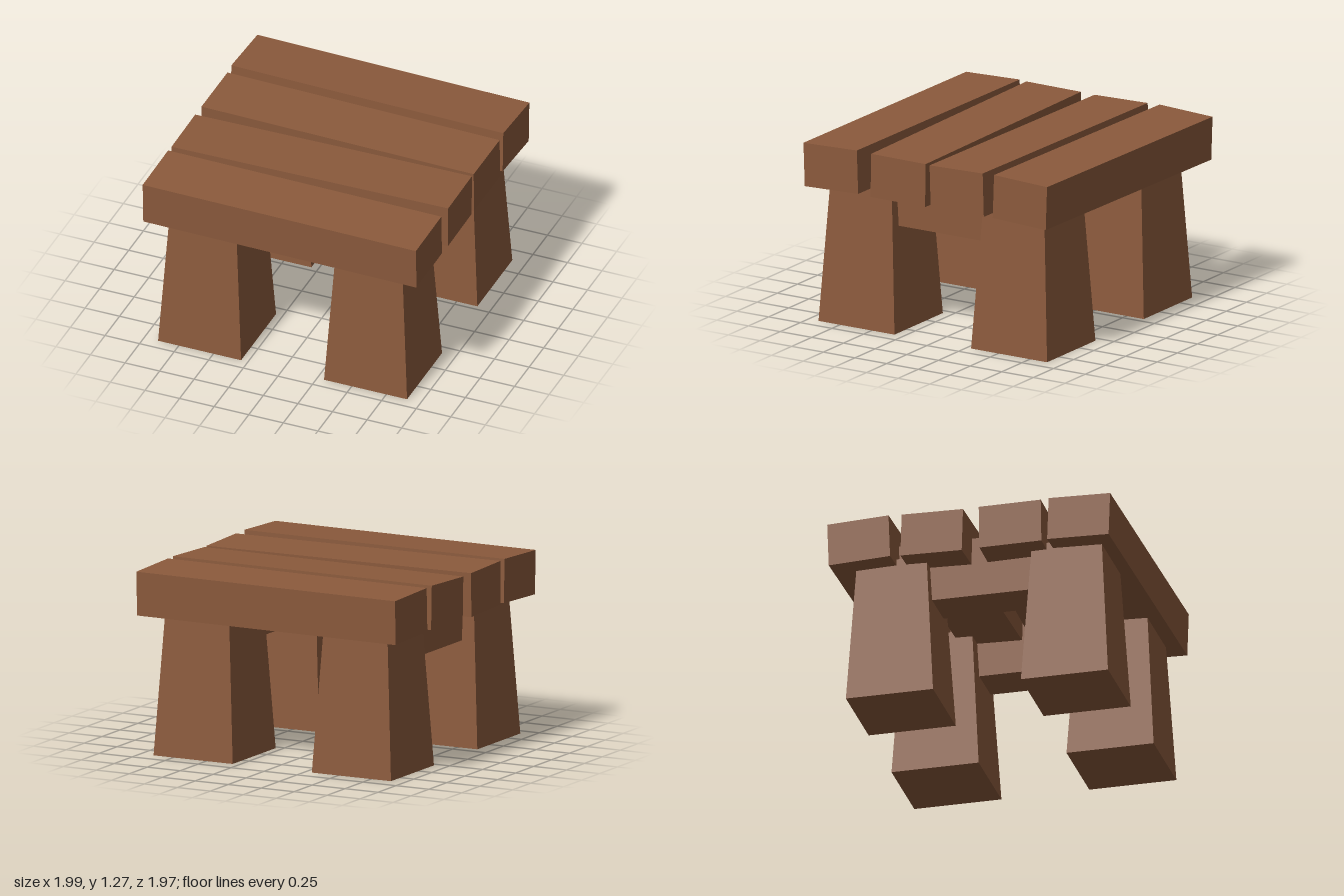
import * as THREE from 'three';

const wood = new THREE.MeshStandardMaterial({ color: 0x8b5a3c, flatShading: true });

function block(name, w, h, d, x, y, z) {
  const mesh = new THREE.Mesh(new THREE.BoxGeometry(w, h, d), wood);
  mesh.name = name;
  mesh.position.set(x, y, z);
  return mesh;
}

// Square leg whose top is narrower than its foot
function leg(name, x, z) {
  const height = 1.01, taper = 0.8;
  const mesh = block(name, 0.6, height, 0.6, x, height / 2, z);
  const p = mesh.geometry.attributes.position;
  for (let i = 0; i < p.count; i++) {
    if (p.getY(i) > 0) p.setXYZ(i, p.getX(i) * taper, p.getY(i), p.getZ(i) * taper);
  }
  mesh.geometry.computeVertexNormals();
  return mesh;
}

export function createModel() {
  const group = new THREE.Group();
  group.name = 'plankTable';

  // Four tapered legs
  for (const [side, x] of [['Left', 0.6], ['Right', -0.6]]) {
    group.add(leg(`front${side}Leg`, x, 0.62), leg(`back${side}Leg`, x, -0.585));
  }

  // Beams joining front and back legs under the planks
  group.add(block('leftBeam', 0.3, 0.42, 1.5, 0.63, 0.93, 0.02));
  group.add(block('rightBeam', 0.3, 0.42, 1.5, -0.61, 0.93, 0.02));

  // Loose planks, each a little crooked: [z, tilt, turn]
  const planks = [
    [-0.751, -0.035, -0.022],
    [-0.25, 0.03, -0.02],
    [0.251, -0.015, 0.019],
    [0.753, 0.035, -0.011],
  ];
  planks.forEach(([z, tilt, turn], i) => {
    const plank = block(`plank${i + 1}`, 1.985, 0.3, 0.425, 0, 1.108, z);
    plank.rotation.set(tilt, turn, 0, 'YXZ');
    group.add(plank);
  });

  return group;
}
